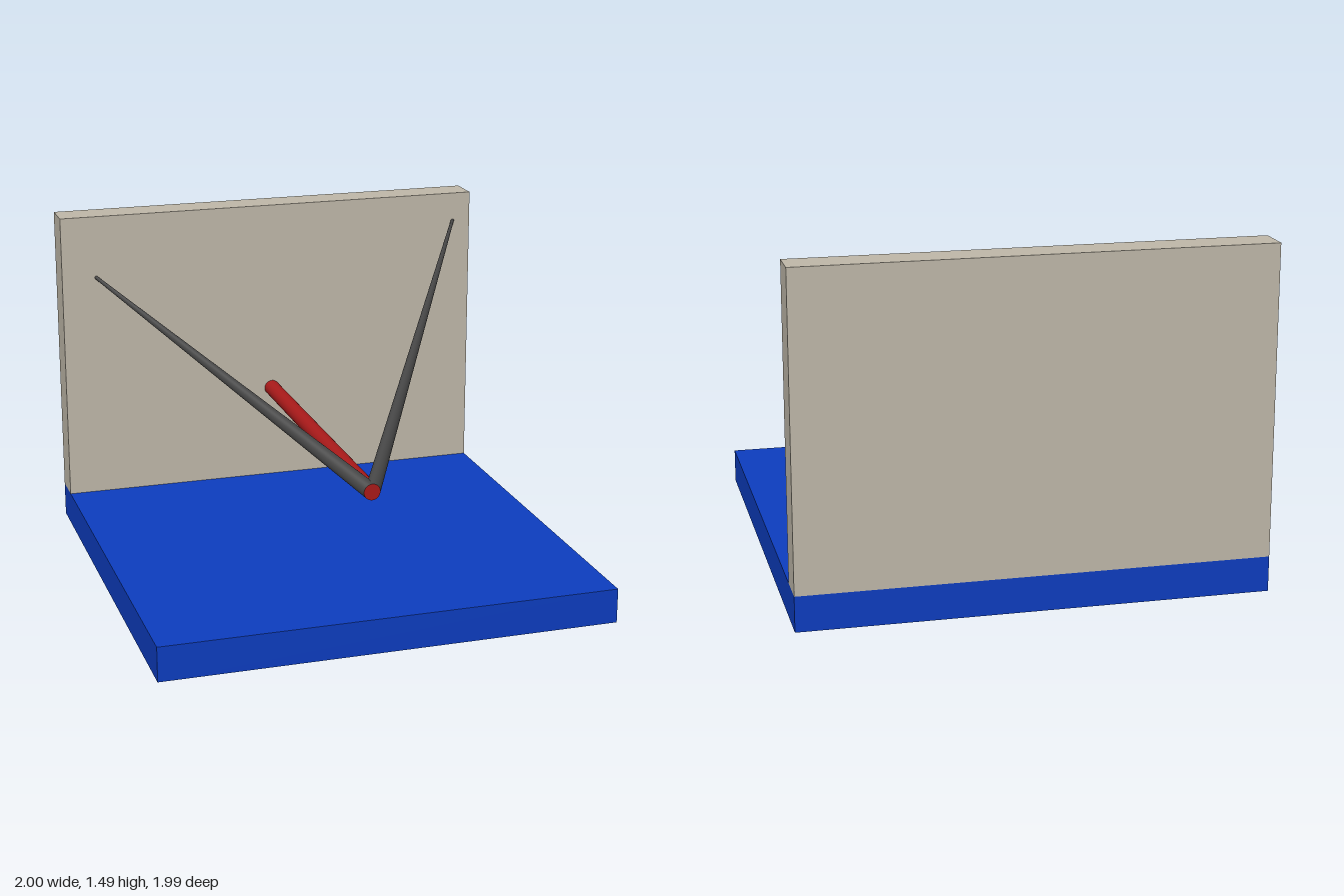
import * as THREE from 'three';
import { mergeVertices } from 'three/addons/utils/BufferGeometryUtils.js';

const WALL_Z = -0.84, TIP_Z = 0.69, ROD_Y = 0.592, ROD_R = 0.036;

function addPart(group, name, geometry, color) {
  const mesh = new THREE.Mesh(geometry, new THREE.MeshStandardMaterial({ color }));
  mesh.name = name;
  group.add(mesh);
  return mesh;
}

// Tapered strut with both ends cut parallel to the wall, from the rod tip to (x, y) on the wall
function strutGeometry(x, y) {
  const length = TIP_Z - WALL_Z;
  let geo = new THREE.CylinderGeometry(0.008, ROD_R, length, 32, 1, true);
  geo.rotateX(-Math.PI / 2);
  const pos = geo.attributes.position;
  for (let i = 0; i < pos.count; i++) {
    const t = 0.5 - pos.getZ(i) / length;
    pos.setXYZ(i,
      pos.getX(i) + x * t,
      pos.getY(i) + ROD_Y + (y - ROD_Y) * t,
      pos.getZ(i) + (TIP_Z + WALL_Z) / 2);
  }
  geo.deleteAttribute('uv');
  geo.deleteAttribute('normal');
  geo = mergeVertices(geo);
  geo.computeVertexNormals();
  return geo;
}

export function createModel() {
  const model = new THREE.Group();
  model.name = 'wallBracket';

  // Floor slab and the wall standing on its back edge
  addPart(model, 'floor', new THREE.BoxGeometry(2, 0.153, 1.988), 0x0d3dc0)
    .position.set(0, 0.0765, 0);
  addPart(model, 'wall', new THREE.BoxGeometry(2, 1.337, 0.154), 0xc0b9aa)
    .position.set(0, 0.8215, -0.917);

  // Horizontal rod out of the wall
  const rod = new THREE.CylinderGeometry(ROD_R, ROD_R, TIP_Z - WALL_Z, 32);
  rod.rotateX(Math.PI / 2);
  addPart(model, 'rod', rod, 0xaa1a1a).position.set(0, ROD_Y, (TIP_Z + WALL_Z) / 2);

  // Struts from the rod tip up to two anchor points of different height
  addPart(model, 'leftStrut', strutGeometry(0.914, 1.355), 0x444444);
  addPart(model, 'rightStrut', strutGeometry(-0.84, 1.202), 0x444444);

  return model;
}
